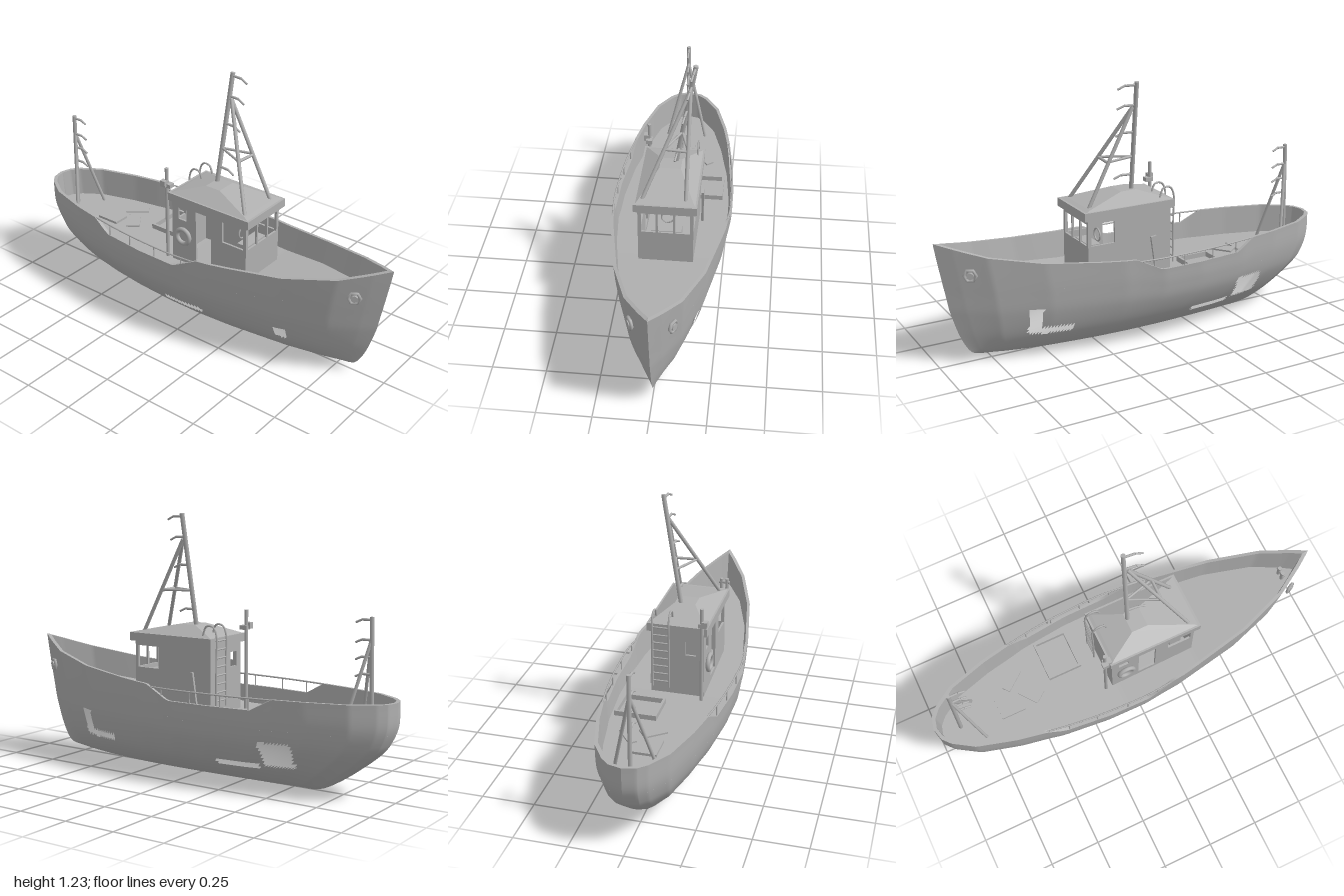
import * as THREE from 'three';
import { ConvexGeometry } from 'three/addons/geometries/ConvexGeometry.js';

const V = (x, y, z) => new THREE.Vector3(x, y, z);
const paint = new THREE.MeshStandardMaterial({ color: 0xb0b0b0, side: THREE.DoubleSide });
paint.name = 'plain grey';

// piecewise linear lookup in [position, value] pairs
function lookup(table, p) {
  if (p <= table[0][0]) return table[0][1];
  for (let i = 1; i < table.length; i++) {
    const [a, va] = table[i - 1], [b, vb] = table[i];
    if (p <= b) return va + (vb - va) * (p - a) / (b - a);
  }
  return table[table.length - 1][1];
}

// z to half beam, bulwark height and deck height
const PLAN = [[-1, 0], [-0.985, 0.06], [-0.95, 0.1], [-0.85, 0.165], [-0.66, 0.22], [-0.45, 0.26], [-0.2, 0.286],
  [0, 0.289], [0.2, 0.272], [0.56, 0.205], [0.8, 0.125], [0.93, 0.048], [1, 0]];
const SHEER = [[-1, 0.44], [-0.52, 0.44], [-0.42, 0.385], [0.01, 0.385], [0.14, 0.45], [0.3, 0.46],
  [0.56, 0.485], [0.8, 0.528], [0.9, 0.558], [1, 0.59]];
const DECK = [[-0.1, 0.3], [0.3, 0.33], [0.87, 0.41], [1, 0.43]];
// midship section (half beam, height) and the bow and stern ends at the same levels
const SECTION = new THREE.CatmullRomCurve3([V(0, 0, 0), V(0.06, 0.012, 0), V(0.12, 0.042, 0), V(0.2, 0.115, 0),
  V(0.26, 0.23, 0), V(0.28, 0.33, 0), V(0.289, 0.45, 0)]);
const ENDS = new THREE.CatmullRomCurve3([V(0.81, -0.6, 0), V(0.84, -0.65, 0), V(0.865, -0.71, 0), V(0.9, -0.82, 0),
  V(0.94, -0.955, 0), V(0.965, -0.997, 0), V(1, -1, 0)]);

function hullPoint(u, v) {
  const s = SECTION.getPoint(v), e = ENDS.getPoint(v), zTop = 2 * u - 1;
  const k = s.y / 0.45;
  const y = s.y * (1 + (lookup(SHEER, zTop) / 0.45 - 1) * k * k) + 0.03 * Math.max(0, zTop) ** 3 * (1 - k);
  return V(s.x * lookup(PLAN, zTop) / 0.289, y, e.y + (e.x - e.y) * u);
}

// torn openings in the plating: side, zMin, zMax, yMin, yMax
const BREACHES = [[1, 0.56, 0.62, 0.13, 0.26], [1, 0.41, 0.56, 0.125, 0.16], [1, -0.59, -0.44, 0.12, 0.24],
  [1, -0.42, -0.2, 0.1, 0.13], [-1, 0.5, 0.56, 0.13, 0.19], [-1, -0.1, 0.12, 0.12, 0.155]];
const STATIONS = 160, LEVELS = 40;
const station = i => 0.5 - 0.5 * Math.cos(Math.PI * i / STATIONS);

function meshGeometry(pos, index) {
  const g = new THREE.BufferGeometry();
  g.setAttribute('position', new THREE.Float32BufferAttribute(pos, 3));
  g.setIndex(index);
  g.computeVertexNormals();
  return g;
}

function hullGeometry() {
  const pos = [], index = [], cols = 2 * LEVELS + 1;
  for (let i = 0; i <= STATIONS; i++) {
    for (let j = -LEVELS; j <= LEVELS; j++) {
      const p = hullPoint(station(i), Math.abs(j) / LEVELS);
      pos.push(Math.sign(j) * p.x, p.y, p.z);
    }
  }
  const plate = (...tri) => {
    const [x, y, z] = [0, 1, 2].map(k => tri.reduce((sum, n) => sum + pos[3 * n + k], 0) / 3);
    const torn = BREACHES.some(h => x * h[0] > 0 && z > h[1] && z < h[2] && y > h[3] && y < h[4]);
    if (!torn) index.push(...tri);
  };
  for (let i = 0; i < STATIONS; i++) {
    for (let j = 0; j < cols - 1; j++) {
      const a = i * cols + j, b = a + cols;
      plate(a, a + 1, b);
      plate(b, a + 1, b + 1);
    }
  }
  return meshGeometry(pos, index);
}

// strip of faces between two rows of points
function ribbon(rowA, rowB) {
  const n = rowA.length, index = [];
  for (let i = 0; i < n - 1; i++) index.push(i, i + 1, n + i, n + i, i + 1, n + i + 1);
  return meshGeometry([...rowA, ...rowB].flatMap(p => p.toArray()), index);
}

// points of the hull side where the deck meets it
function deckEdge() {
  const row = [];
  for (let i = 0; i <= STATIONS; i++) {
    let lo = 0, hi = 1;
    for (let k = 0; k < 20; k++) {
      const mid = (lo + hi) / 2, p = hullPoint(station(i), mid);
      if (p.y < lookup(DECK, p.z)) lo = mid; else hi = mid;
    }
    row.push(hullPoint(station(i), lo));
  }
  return row;
}

export function createModel() {
  const boat = new THREE.Group();
  boat.name = 'fishingBoat';
  const FLOOR = 0.3;

  const add = (name, geo, x = 0, y = 0, z = 0) => {
    const m = new THREE.Mesh(geo, paint);
    m.name = name;
    m.position.set(x, y, z);
    boat.add(m);
    return m;
  };
  const box = (name, w, h, d, x, y, z) => add(name, new THREE.BoxGeometry(w, h, d), x, y, z);
  // straight round bar between two points
  const bar = (name, a, b, r = 0.006) => {
    const d = b.clone().sub(a), m = add(name, new THREE.CylinderGeometry(r, r, d.length(), 8));
    m.position.copy(a).addScaledVector(d, 0.5);
    m.quaternion.setFromUnitVectors(V(0, 1, 0), d.normalize());
    return m;
  };
  const pipe = (name, pts, r) => add(name, new THREE.TubeGeometry(new THREE.CatmullRomCurve3(pts), 40, r, 6));

  // hull, deck, and bulwark with inner skin and flat cap
  add('hull', hullGeometry());
  const edge = deckEdge(), rim = edge.map((p, i) => hullPoint(station(i), 1));
  const side = (row, s, inset) => row.map(p => V(s * Math.max(0, p.x - inset), p.y, p.z * (1 - inset)));
  add('deck', ribbon(side(edge, -1, 0), side(edge, 1, 0)));
  for (const s of [1, -1]) {
    add('bulwarkInside', ribbon(side(edge, s, 0.013), side(rim, s, 0.013)));
    add('bulwarkCap', ribbon(side(rim, s, 0), side(rim, s, 0.013)));

    // side railing over the low bulwark
    const rail = z => V(s * (lookup(PLAN, z) - 0.006), 0.437, z);
    pipe('sideRail', [0.14, 0, -0.13, -0.26, -0.39, -0.52].map(rail), 0.004);
    for (const z of [0.05, -0.11, -0.27, -0.41]) {
      bar('railPost', rail(z).setY(0.38), rail(z), 0.003);
    }

    // hexagonal hawse ports at the bow
    const port = add('hawsePort', new THREE.TorusGeometry(0.027, 0.008, 6, 6), s * 0.093, 0.45, 0.87);
    port.rotation.y = s * 1.05;
    const plug = add('hawsePlug', new THREE.CylinderGeometry(0.017, 0.017, 0.02, 6).rotateX(Math.PI / 2), s * 0.093, 0.45, 0.87);
    plug.rotation.y = s * 1.05;
  }

  // wheelhouse walls with open windows; holes are [x0, y0, x1, y1]
  const wall = (x0, x1, holes) => {
    const rect = (a, b, c, d) => [[a, b], [c, b], [c, d], [a, d]].map(p => new THREE.Vector2(...p));
    const shape = new THREE.Shape(rect(x0, FLOOR, x1, 0.64));
    shape.holes = holes.map(h => new THREE.Path(rect(...h)));
    return new THREE.ExtrudeGeometry(shape, { depth: 0.01, bevelEnabled: false });
  };
  const frontWindow = [0.175, 0.495, 0.295, 0.6];
  add('wheelhouseFront', wall(-0.128, 0.128, [[-0.112, 0.495, -0.045, 0.6], [-0.035, 0.495, 0.035, 0.6],
    [0.045, 0.495, 0.112, 0.6]]), 0, 0, 0.302);
  add('wheelhouseBack', wall(-0.128, 0.128, [[-0.09, 0.51, -0.04, 0.58]]), 0, 0, -0.122);
  add('wheelhouseLeft', wall(-0.122, 0.312, [frontWindow]).rotateY(-Math.PI / 2), 0.128, 0, 0);
  add('wheelhouseRight', wall(-0.122, 0.312, [frontWindow, [0.02, 0.34, 0.11, 0.6], [-0.085, 0.53, -0.035, 0.59]])
    .rotateY(-Math.PI / 2), -0.118, 0, 0);

  // roof slab, raised crown and helm inside
  box('roofSlab', 0.29, 0.04, 0.468, 0, 0.642, 0.1);
  const crown = [];
  for (const sx of [-1, 1]) {
    crown.push(V(sx * 0.14, 0.66, -0.13), V(sx * 0.14, 0.66, 0.33), V(sx * 0.125, 0.668, -0.11), V(sx * 0.125, 0.668, 0.3),
      V(sx * 0.05, 0.708, 0.02), V(sx * 0.05, 0.708, 0.1));
  }
  add('roofCrown', new ConvexGeometry(crown));
  box('helmConsole', 0.14, 0.16, 0.06, 0, 0.4, 0.25);
  add('helmWheel', new THREE.TorusGeometry(0.03, 0.004, 6, 16), 0, 0.5, 0.2);

  // main tripod mast with rungs
  const foot = V(0.02, 0.69, 0.03), top = V(0.11, 1.23, 0.05), joint = V(0.088, 1.11, 0.06);
  const feet = [V(-0.11, 0.66, 0.29), V(0.09, 0.66, 0.29)];
  bar('mainMast', foot, top, 0.011);
  feet.forEach(f => bar('mastLeg', f, joint, 0.009));
  const legAt = (f, y) => f.clone().lerp(joint, (y - f.y) / (joint.y - f.y));
  const mastAt = y => foot.clone().lerp(top, (y - foot.y) / (top.y - foot.y));
  bar('mastCrossbar', legAt(feet[0], 0.87), legAt(feet[1], 0.865), 0.007);
  feet.forEach(f => bar('mastBrace', legAt(f, 0.87), mastAt(0.87), 0.006));
  for (const y of [0.78, 0.99, 1.12, 1.215]) {
    const p = mastAt(y), bend = p.clone().add(V(-0.006, 0, 0.055));
    bar('mastRung', p, bend, 0.006);
    bar('rungTip', bend, bend.clone().add(V(-0.006, -0.015, 0.035)), 0.005);
  }

  // stern tripod mast
  bar('sternMast', V(0, FLOOR, -0.88), V(0, 0.8, -0.87), 0.01);
  for (const s of [1, -1]) bar('sternMastLeg', V(s * 0.1, FLOOR, -0.785), V(0, 0.7, -0.87), 0.008);
  for (const y of [0.55, 0.625, 0.7, 0.787]) {
    const bend = V(0, y, -0.825);
    bar('sternRung', V(0, y, -0.87), bend, 0.006);
    bar('sternRungTip', bend, V(0, y - 0.014, -0.795), 0.005);
  }

  // ladder behind the wheelhouse, curling over the roof
  for (const x of [0.035, 0.115]) {
    pipe('ladderRail', [V(x, FLOOR + 0.04, -0.145), V(x, 0.55, -0.145), V(x, 0.68, -0.145), V(x, 0.715, -0.125),
      V(x, 0.715, -0.09), V(x, 0.67, -0.07)], 0.005);
  }
  for (let i = 0; i < 8; i++) bar('ladderRung', V(0.035, 0.37 + i * 0.04, -0.145), V(0.115, 0.37 + i * 0.04, -0.145), 0.004);

  // exhaust pipe, lamp and lifebuoy
  bar('exhaustPipe', V(-0.125, FLOOR, -0.155), V(-0.125, 0.775, -0.155), 0.009);
  box('exhaustBracket', 0.03, 0.02, 0.04, -0.125, 0.69, -0.145);
  box('sideLamp', 0.025, 0.03, 0.03, -0.14, 0.7, -0.16);
  add('lifebuoy', new THREE.TorusGeometry(0.037, 0.011, 8, 20).rotateY(Math.PI / 2), -0.138, 0.45, -0.05);
  box('leaningPlank', 0.012, 0.2, 0.03, 0.145, 0.4, -0.035).rotation.x = 0.15;

  // cargo hatch coaming, with a small hatch and loose planks aft
  for (const z of [-0.225, -0.385]) box('hatchCoamingEnd', 0.2, 0.025, 0.012, 0.13, FLOOR + 0.012, z);
  for (const x of [0.035, 0.225]) box('hatchCoamingSide', 0.012, 0.025, 0.17, x, FLOOR + 0.012, -0.305);
  box('smallHatch', 0.11, 0.012, 0.12, 0, FLOOR + 0.006, -0.62);
  box('loosePlank', 0.11, 0.008, 0.07, 0.01, FLOOR + 0.012, -0.5).rotation.y = 0.65;
  box('loosePlank', 0.12, 0.008, 0.04, 0.11, FLOOR + 0.01, -0.56).rotation.y = -0.9;

  // mooring bitt on the foredeck
  for (const s of [1, -1]) bar('bittPost', V(s * 0.015, 0.4, 0.87), V(s * 0.015, 0.47, 0.87), 0.01);
  bar('bittBar', V(-0.028, 0.45, 0.87), V(0.028, 0.45, 0.87), 0.009);

  return boat;
}
